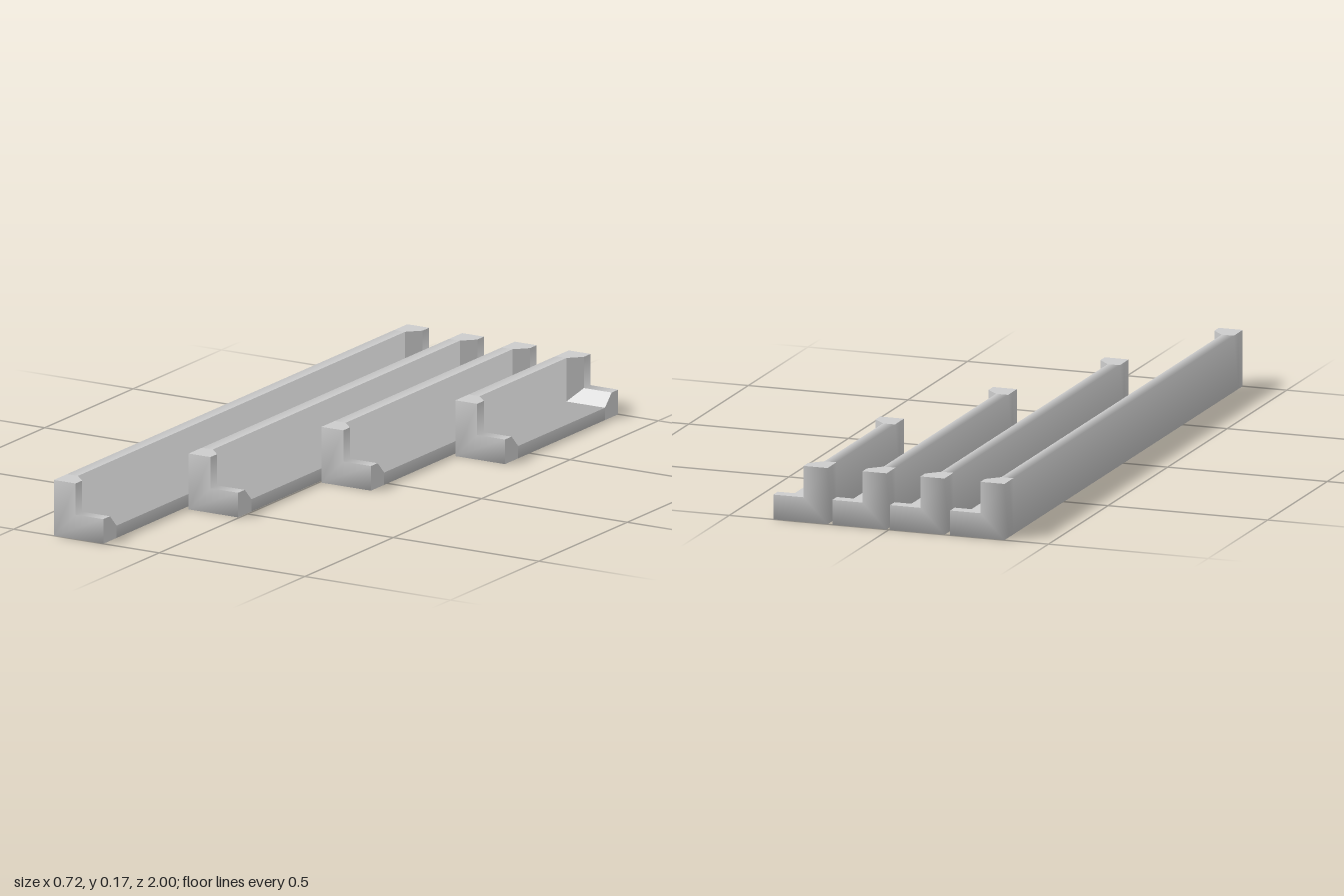
import * as THREE from 'three';

const W = 0.17, H = 0.17;           // width and height of every rail
const THICK = 0.075, THIN = 0.0375; // L thickness at the ends and along the middle

const material = new THREE.MeshStandardMaterial({ color: 0xcccccc, side: THREE.DoubleSide });

// L-shaped cross-section, counter-clockwise seen from the front
const section = (t, z) => [[0, 0], [W, 0], [W, t], [t, t], [t, H], [0, H]]
  .map(([x, y]) => new THREE.Vector3(x, y, z));

// Each face adds its unit normal to its corners, so shared corners shade smoothly
function smoothNormals(points, quads) {
  const normals = points.map(() => new THREE.Vector3());
  for (const quad of quads) {
    const [a, b, c] = quad.map((i) => points[i]);
    const n = b.clone().sub(a).cross(c.clone().sub(a)).normalize();
    quad.forEach((i) => normals[i].add(n));
  }
  return normals.map((n) => n.normalize());
}

function makeMesh(name, points, quads, normals) {
  let geometry = new THREE.BufferGeometry().setFromPoints(points);
  geometry.setIndex(quads.flatMap(([a, b, c, d]) => [a, b, c, a, c, d]));
  if (normals) {
    geometry.setAttribute('normal', new THREE.Float32BufferAttribute(normals.flatMap((n) => n.toArray()), 3));
  } else {
    geometry = geometry.toNonIndexed();
    geometry.computeVertexNormals();
  }
  const mesh = new THREE.Mesh(geometry, material);
  mesh.name = name;
  return mesh;
}

function makeRail(z0, z1) {
  const points = [
    [THICK, z0], [THICK, z0 + THIN], [THIN, z0 + 2 * THIN],
    [THIN, z1 - 2 * THIN], [THICK, z1 - THIN], [THICK, z1],
  ].flatMap(([t, z]) => section(t, z));

  // Face between rings r and r + 1, along edge k of the section
  const strip = (r, k) => {
    const a = r * 6 + k, b = r * 6 + (k + 1) % 6;
    return [a, b, b + 6, a + 6];
  };
  const strips = (rs, ks) => rs.flatMap((r) => ks.map((k) => strip(r, k)));

  // Underside, back wall, long rims and both L-shaped ends
  const skin = [
    ...strips([0, 1, 2, 3, 4], [0, 5]), ...strips([2], [1, 4]),
    [30, 31, 32, 33], [30, 33, 34, 35], [3, 2, 1, 0], [5, 4, 3, 0],
  ];
  const notches = strips([0, 4], [2, 3]);
  const slant = new THREE.Vector3(1, 1, 0).normalize();

  const rail = new THREE.Group();
  rail.add(
    makeMesh('outerSkin', points, skin, smoothNormals(points, skin)),
    makeMesh('endNotches', points, notches, smoothNormals(points, notches)),
    // Rims of the end blocks and their mitred inner slopes
    makeMesh('endRims', points, strips([0, 1, 3, 4], [1, 4])),
    makeMesh('endSlopes', points, strips([1, 3], [2, 3])),
    // Inner wall and floor, softly shaded as one surface
    makeMesh('trough', points, strips([2], [2, 3]), points.map(() => slant)),
  );
  return rail;
}

export function createModel() {
  const model = new THREE.Group();
  model.name = 'cornerRails';
  // Left edge of each rail, longest to shortest
  [-0.362, -0.174, 0.007, 0.192].forEach((x, i) => {
    const rail = makeRail(-1, 1 - 0.453 * i);
    rail.position.x = x;
    rail.name = `rail${i + 1}`;
    model.add(rail);
  });
  return model;
}
